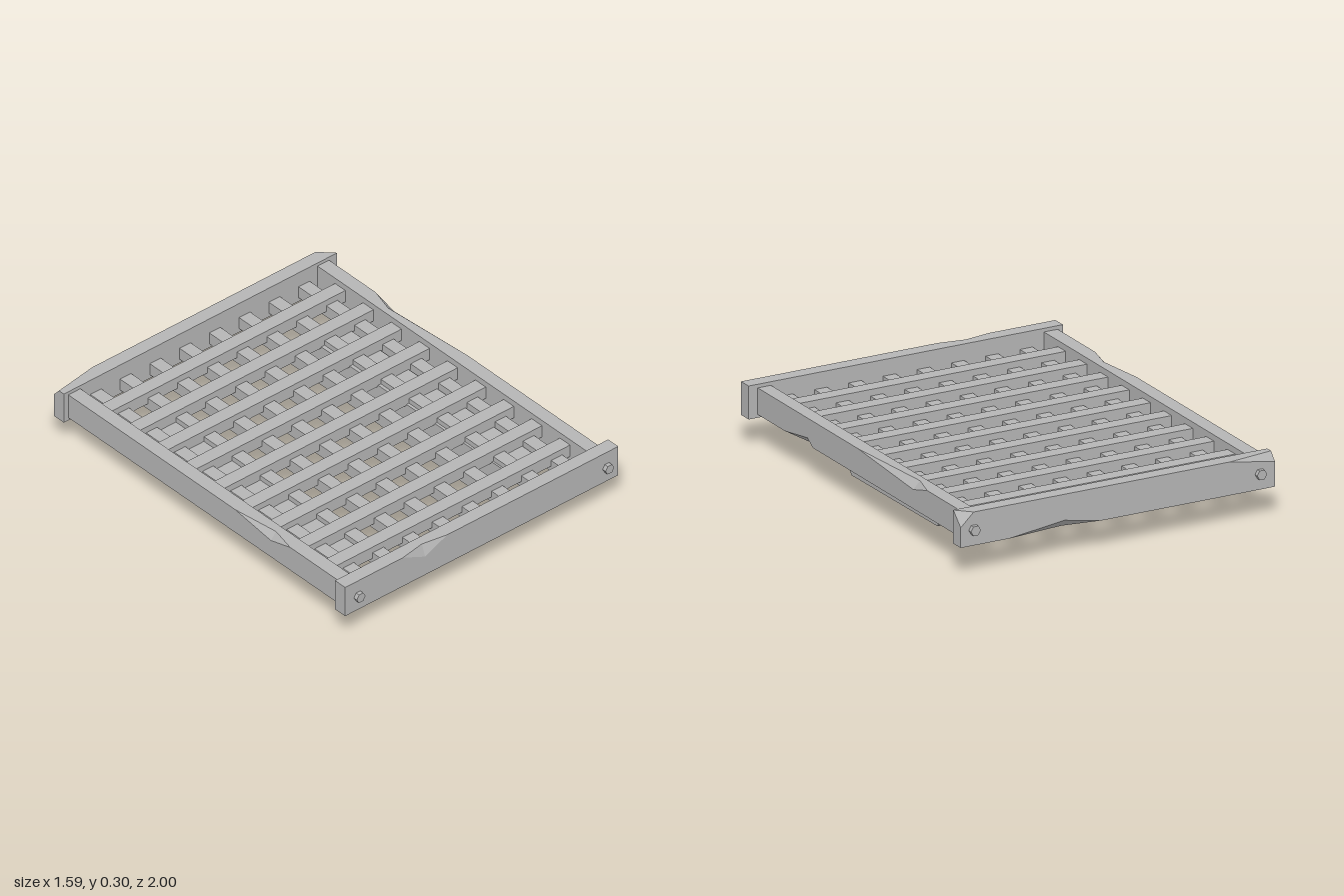
import * as THREE from 'three';

const wood = new THREE.MeshStandardMaterial({ color: 0xb5b5b5 });
wood.name = 'grey';

// Corners of a rectangular section, counter-clockwise: [sign u, sign v]
const CORNERS = [[1, -1], [1, 1], [-1, 1], [-1, -1]];

// Section with optional chipped corner: s = { t, u: [min, max], v: [min, max], cut: [corner, du, dv] }
function section(s) {
  const pts = [];
  CORNERS.forEach(([su, sv], i) => {
    const [du, dv] = s.cut && s.cut[0] === i ? s.cut.slice(1) : [0, 0];
    const u = su > 0 ? s.u[1] : s.u[0];
    const v = sv > 0 ? s.v[1] : s.v[0];
    const a = new THREE.Vector3(u - su * du, v, s.t);
    const b = new THREE.Vector3(u, v - sv * dv, s.t);
    pts.push(...(i % 2 === 0 ? [a, b] : [b, a]));
  });
  return pts;
}

// Flat-faced loft along z through the sections
function loft(stations) {
  const rings = stations.map(section);
  const pos = [];
  const tri = (a, b, c) => {
    const area = b.clone().sub(a).cross(c.clone().sub(a)).length();
    if (area > 1e-8) for (const p of [a, b, c]) pos.push(p.x, p.y, p.z);
  };
  for (let k = 0; k < rings.length - 1; k++) {
    const A = rings[k], B = rings[k + 1];
    for (let i = 0; i < 8; i++) {
      const j = (i + 1) % 8;
      tri(A[i], A[j], B[j]);
      tri(A[i], B[j], B[i]);
    }
  }
  const first = rings[0], last = rings[rings.length - 1];
  for (let i = 1; i < 7; i++) {
    tri(first[0], first[i + 1], first[i]);
    tri(last[0], last[i], last[i + 1]);
  }
  const g = new THREE.BufferGeometry();
  g.setAttribute('position', new THREE.Float32BufferAttribute(pos, 3));
  g.computeVertexNormals();
  return g;
}

// Straight beam with chips given as [t, corner, du, dv]
function beam(u, v, t0, t1, chips) {
  const list = chips.map(([t, ...cut]) => ({ t, u, v, cut }));
  for (const t of [t0, t1]) if (!list.some((s) => s.t === t)) list.push({ t, u, v });
  return loft(list.sort((a, b) => a.t - b.t));
}

export function createModel() {
  const group = new THREE.Group();
  const add = (name, geometry) => {
    const mesh = new THREE.Mesh(geometry, wood);
    mesh.name = name;
    group.add(mesh);
    return mesh;
  };
  const bar = (name, w, h, d, x, y, z) =>
    add(name, new THREE.BoxGeometry(w, h, d)).position.set(x, y, z);

  // End beams, lofted along z and turned to run along x
  const beamY = [0.14, 0.297];
  add('frontBeam', beam([-0.98, -0.912], beamY, -0.796, 0.796, [
    [-0.46, 2, 0, 0], [-0.33, 2, 0.022, 0.057], [-0.2, 2, 0, 0],
  ]).rotateY(Math.PI / 2));
  add('backBeam', beam([0.912, 0.98], beamY, -0.796, 0.796, [
    [-0.796, 1, 0.035, 0.04], [-0.57, 1, 0, 0],
    [0.08, 0, 0, 0], [0.27, 0, 0.03, 0.035], [0.55, 0, 0, 0],
    [0.73, 1, 0, 0], [0.796, 1, 0.066, 0.062],
  ]).rotateY(Math.PI / 2));

  // Side rails with worn edges
  const railY = [0.155, 0.28];
  add('leftRail', beam([0.683, 0.75], railY, -0.912, 0.912, [
    [-0.6, 1, 0, 0], [-0.475, 1, 0.035, 0.035], [0.02, 1, 0, 0],
    [0.42, 0, 0, 0], [0.47, 0, 0.03, 0.032], [0.67, 0, 0, 0],
  ]));
  add('rightRail', beam([-0.77, -0.7], railY, -0.912, 0.912, [
    [0.21, 2, 0, 0], [0.45, 2, 0.03, 0.035], [0.58, 2, 0, 0],
  ]));

  // Lattice: long slats below, cross slats above
  for (let i = 0; i < 8; i++) bar('longSlat', 0.064, 0.06, 1.83, -0.61 + i * 0.1735, 0.19, 0);
  for (let i = 0; i < 9; i++) bar('crossSlat', 1.39, 0.062, 0.069, -0.01, 0.22, -0.76 + i * 0.189);

  // Tapered runners underneath: [z, bottom height]
  const profile = [[-0.625, 0.075], [-0.405, 0.075], [-0.355, 0], [0.4, 0], [0.455, 0.075], [0.61, 0.075], [0.67, 0.075]];
  const runner = (name, x0, x1, skew, chip) => add(name, loft(profile.map(([t, y], i) => {
    const dx = skew * (t / 1.3);
    return { t, u: [x0 + dx, x1 + dx], v: [y, 0.195], cut: i === 6 ? chip : undefined };
  })));
  runner('leftRunner', 0.384, 0.562, 0.012, [0, 0.065, 0.055]);
  runner('rightRunner', -0.592, -0.435, 0, undefined);

  // Hexagonal bolt heads
  for (const x of [-0.72, 0.73]) {
    for (const s of [-1, 1]) {
      const g = new THREE.CylinderGeometry(0.025, 0.025, 0.04, 6).toNonIndexed();
      g.rotateY(Math.PI / 6).rotateX(Math.PI / 2).computeVertexNormals();
      add('bolt', g).position.set(x, 0.214, s * 0.98);
    }
  }
  return group;
}
